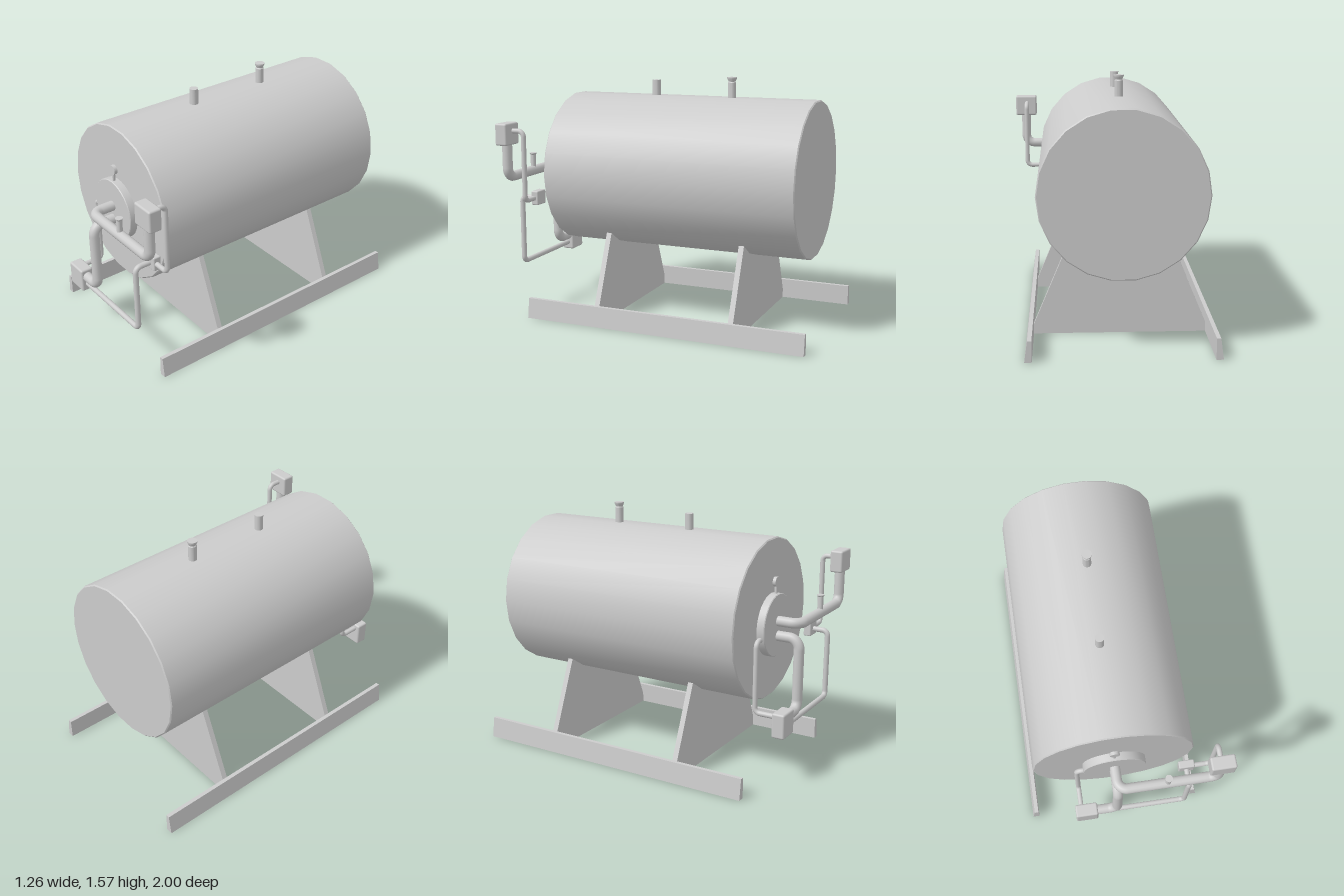
import * as THREE from 'three';
import { toCreasedNormals } from 'three/addons/utils/BufferGeometryUtils.js';
import { RoundedBoxGeometry } from 'three/addons/geometries/RoundedBoxGeometry.js';

const CX = -0.055; // tank centre line
const grey = new THREE.MeshStandardMaterial({ color: 0xcccccc });

export function createModel() {
  const model = new THREE.Group();
  const add = (name, geometry, x = 0, y = 0, z = 0) => {
    const mesh = new THREE.Mesh(geometry, grey);
    mesh.name = name;
    mesh.position.set(x, y, z);
    model.add(mesh);
    return mesh;
  };
  // Turned part from [radius, height] pairs, creased at its rims
  const turned = (profile, sides) => toCreasedNormals(new THREE.LatheGeometry(
    profile.map(([r, h]) => new THREE.Vector2(r, h)), sides, Math.PI / 2), 0.5);
  // Pipe through corner points, each corner rounded by an arc
  const pipe = (name, radius, bend, corners) => {
    const pts = corners.map(c => new THREE.Vector3(...c));
    const path = new THREE.CurvePath();
    let last = pts[0];
    for (let i = 1; i < pts.length - 1; i++) {
      const p = pts[i];
      const toward = q => q.clone().sub(p).setLength(bend).add(p);
      const a = toward(pts[i - 1]), b = toward(pts[i + 1]);
      const k = 0.448;
      path.add(new THREE.LineCurve3(last, a));
      path.add(new THREE.CubicBezierCurve3(a, p.clone().lerp(a, k), p.clone().lerp(b, k), b));
      last = b;
    }
    path.add(new THREE.LineCurve3(last, pts[pts.length - 1]));
    add(name, new THREE.TubeGeometry(path, 160, radius, 14, false));
  };

  // Tank with slightly eased rims
  add('tank', turned([[0, -0.9], [0.493, -0.9], [0.5, -0.893], [0.5, 0.758],
    [0.493, 0.765], [0, 0.765]], 22).rotateX(Math.PI / 2), CX, 0.945, 0);

  // Front flange with its lifting tab
  add('flange', turned([[0, 0.75], [0.195, 0.75], [0.195, 0.81], [0.191, 0.815], [0, 0.815]], 32)
    .rotateX(Math.PI / 2), CX, 0.912, 0);
  add('tabStem', new THREE.BoxGeometry(0.014, 0.08, 0.014), CX, 1.125, 0.793);
  add('tabDisc', new THREE.CylinderGeometry(0.03, 0.03, 0.02, 20).rotateX(Math.PI / 2), CX, 1.18, 0.793);

  // Fittings on the tank and on the upper pipe
  add('frontVent', turned([[0, 1.42], [0.027, 1.42], [0.027, 1.54], [0, 1.54]], 20), CX, 0, 0.19);
  add('rearVent', turned([[0, 1.42], [0.026, 1.42], [0.026, 1.536], [0.022, 1.542], [0.025, 1.55],
    [0.031, 1.562], [0.031, 1.57], [0, 1.57]], 20), CX, 0, -0.333);
  add('pipeNipple', turned([[0, 0.95], [0.018, 0.95], [0.018, 1.043], [0.023, 1.05],
    [0.023, 1.055], [0, 1.055]], 16), 0.25, 0, 0.957);

  // Control boxes
  add('upperBox', new RoundedBoxGeometry(0.15, 0.14, 0.083, 2, 0.012), 0.555, 1.218, 0.957);
  add('lowerBox', new RoundedBoxGeometry(0.145, 0.155, 0.083, 2, 0.012), -0.258, 0.375, 0.957);
  add('middleBox', new RoundedBoxGeometry(0.1, 0.092, 0.05, 2, 0.008), 0.395, 0.79, 0.836);

  // Thick pipes
  pipe('upperPipe', 0.032, 0.06, [[CX, 0.938, 0.8], [CX, 0.938, 0.957],
    [0.557, 0.938, 0.957], [0.557, 1.17, 0.957]]);
  pipe('lowerPipe', 0.032, 0.065, [[CX, 0.845, 0.8], [CX, 0.845, 0.957],
    [CX, 0.4, 0.957], [-0.21, 0.4, 0.957]]);

  // Thin pipes
  pipe('flangeLine', 0.016, 0.035, [[-0.29, 0.42, 0.93], [-0.29, 0.42, 0.787],
    [-0.29, 0.86, 0.787], [-0.22, 0.86, 0.787]]);
  pipe('crossLine', 0.017, 0.035, [[-0.21, 0.347, 0.957], [0.395, 0.347, 0.957],
    [0.395, 0.785, 0.957], [0.395, 0.785, 0.85]]);
  pipe('riserLine', 0.016, 0.035, [[0.43, 0.79, 0.84], [0.549, 0.79, 0.84],
    [0.549, 1.237, 0.84], [0.549, 1.237, 0.93]]);

  // Support plates, running up into the tank
  const plate = new THREE.Shape([[-0.532, 0], [0.532, 0], [0.532, 0.055], [0.262, 0.7],
    [-0.262, 0.7], [-0.532, 0.055]].map(p => new THREE.Vector2(...p)));
  for (const z of [0.39, -0.52]) {
    add('supportPlate', new THREE.ExtrudeGeometry(plate, { depth: 0.034, bevelEnabled: false }),
      CX, 0, z - 0.017);
  }

  // Skid rails, sloped on the outer side
  for (const side of [-1, 1]) {
    const corners = [[0.53, 0], [0.573, 0], [0.555, 0.13], [0.53, 0.13]];
    const rail = new THREE.Shape(corners.map(([x, y]) => new THREE.Vector2(side * x, y)));
    add(side < 0 ? 'rightRail' : 'leftRail',
      new THREE.ExtrudeGeometry(rail, { depth: 1.866, bevelEnabled: false }), CX, 0, -1);
  }
  return model;
}
